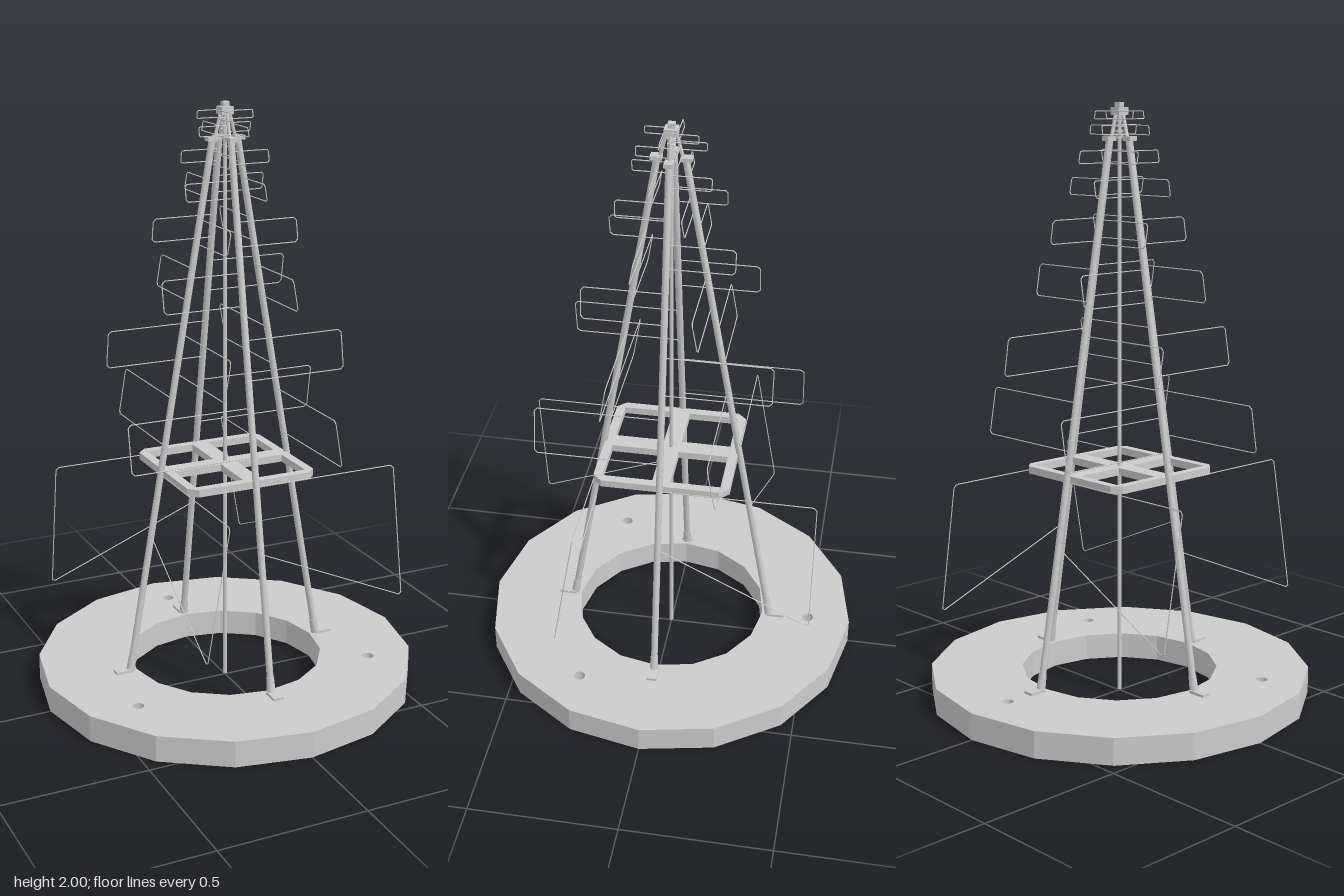
import * as THREE from 'three';

const mat = new THREE.MeshStandardMaterial({ color: 0xcccccc, flatShading: true, side: THREE.DoubleSide });
const smooth = new THREE.MeshStandardMaterial({ color: 0xcccccc });

// distance of a leg's axis from the centre at height y
const legZ = (y) => 0.374 - 0.175 * y;

function add(parent, name, geometry, x = 0, y = 0, z = 0, material = mat) {
  const m = new THREE.Mesh(geometry, material);
  m.name = name;
  m.position.set(x, y, z);
  parent.add(m);
  return m;
}

// straight rod between two points
function rod(parent, name, a, b, r, sides = 8, r2 = r) {
  const d = b.clone().sub(a);
  const m = add(parent, name, new THREE.CylinderGeometry(r2, r, d.length(), sides), 0, 0, 0, smooth);
  m.position.copy(a).addScaledVector(d, 0.5);
  m.quaternion.setFromUnitVectors(new THREE.Vector3(0, 1, 0), d.normalize());
  return m;
}

function polygon(n, r, cx = 0, cy = 0, Type = THREE.Path) {
  const pts = [];
  for (let i = 0; i < n; i++) {
    const a = (i / n) * Math.PI * 2;
    pts.push(new THREE.Vector2(cx + r * Math.cos(a), cy + r * Math.sin(a)));
  }
  return new Type(pts);
}

// horizontal slab: shape (x, -z) raised from y
function slab(parent, name, shape, y, height) {
  const g = new THREE.ExtrudeGeometry(shape, { depth: height, bevelEnabled: false });
  g.rotateX(-Math.PI / 2);
  return add(parent, name, g, 0, y, 0);
}

function createBase() {
  const shape = polygon(16, 0.65, 0, 0, THREE.Shape);
  shape.holes.push(polygon(16, 0.335));
  // three bolt holes
  for (const deg of [90, 210, 330]) {
    const a = THREE.MathUtils.degToRad(deg);
    shape.holes.push(polygon(16, 0.02, 0.5 * Math.cos(a), 0.5 * Math.sin(a)));
  }
  const g = new THREE.Group();
  slab(g, 'baseRing', shape, 0, 0.09);
  return g;
}

// square brace with chamfered corners and four openings
function createBrace() {
  const s = 0.23, c = 0.2;
  const shape = new THREE.Shape([
    [s, -c], [s, c], [c, s], [-c, s], [-s, c], [-s, -c], [-c, -s], [c, -s],
  ].map(([x, y]) => new THREE.Vector2(x, y)));
  for (const sx of [-1, 1]) for (const sy of [-1, 1]) {
    shape.holes.push(new THREE.Path([[0.03, 0.03], [0.2, 0.03], [0.2, 0.2], [0.03, 0.2]]
      .map(([x, y]) => new THREE.Vector2(x * sx, y * sy))));
  }
  const g = new THREE.Group();
  slab(g, 'braceFrame', shape, 0.772, 0.025);
  return g;
}

// wire elements: [top, outer bottom, inner bottom, reach]
const ELEMENTS = [
  [0.775, 0.327, 0.555, 0.523],
  [1.033, 0.873, 0.873, 0.425],
  [1.25, 1.12, 1.12, 0.355],
  [1.465, 1.36, 1.36, 0.272],
  [1.625, 1.547, 1.547, 0.217],
  [1.755, 1.7, 1.7, 0.167],
  [1.845, 1.805, 1.805, 0.133],
  [1.927, 1.897, 1.897, 0.105],
  [1.972, 1.947, 1.947, 0.087],
];

function createElement([top, outer, inner, reach], side) {
  const g = new THREE.Group();
  g.name = 'wireElement';
  const p = (x, y) => new THREE.Vector3(side * x, y, legZ(y) - 0.008);
  const c = Math.min(0.01, (top - outer) * 0.12);
  const slope = (inner - outer) / reach;
  const pts = [p(0, top), p(reach - c, top), p(reach, top - c),
    p(reach, outer + c), p(reach - c, outer + c * slope), p(0, inner)];
  for (let i = 0; i < pts.length - 1; i++) rod(g, 'wire', pts[i], pts[i + 1], 0.0018, 6);
  return g;
}

// one leg with its foot, head bracket and alternating wire elements
function createSide() {
  const g = new THREE.Group();
  g.name = 'towerSide';
  const at = (y) => new THREE.Vector3(0, y, legZ(y));
  rod(g, 'leg', at(0.1), at(1.885), 0.0115, 10);
  rod(g, 'footSleeve', at(0.092), at(0.145), 0.015, 10, 0.013);
  add(g, 'footPlate', new THREE.BoxGeometry(0.036, 0.009, 0.06), 0, 0.0945, 0.384);
  add(g, 'headBracket', new THREE.BoxGeometry(0.028, 0.014, 0.036), 0, 1.884, 0.047);
  rod(g, 'headStrut', new THREE.Vector3(0, 1.885, 0.036), new THREE.Vector3(0, 1.965, 0.016), 0.006);
  ELEMENTS.forEach((e, i) => g.add(createElement(e, i % 2 ? -1 : 1)));
  return g;
}

export function createModel() {
  const model = new THREE.Group();
  model.name = 'antennaTower';
  model.add(createBase(), createBrace());

  for (let i = 0; i < 4; i++) {
    const side = createSide();
    side.rotation.y = (i * Math.PI) / 2;
    model.add(side);
  }

  // centre mast and its head
  rod(model, 'mast', new THREE.Vector3(0, 0.005, 0), new THREE.Vector3(0, 1.96, 0), 0.007, 10);
  for (let i = 0; i < 4; i++) {
    add(model, 'mastCollar', new THREE.CylinderGeometry(0.014, 0.014, 0.01, 10), 0, 1.89 + i * 0.018, 0);
  }
  add(model, 'headBlock', new THREE.BoxGeometry(0.042, 0.024, 0.042), 0, 1.972, 0);
  add(model, 'headCap', new THREE.BoxGeometry(0.022, 0.016, 0.022), 0, 1.992, 0);
  return model;
}
